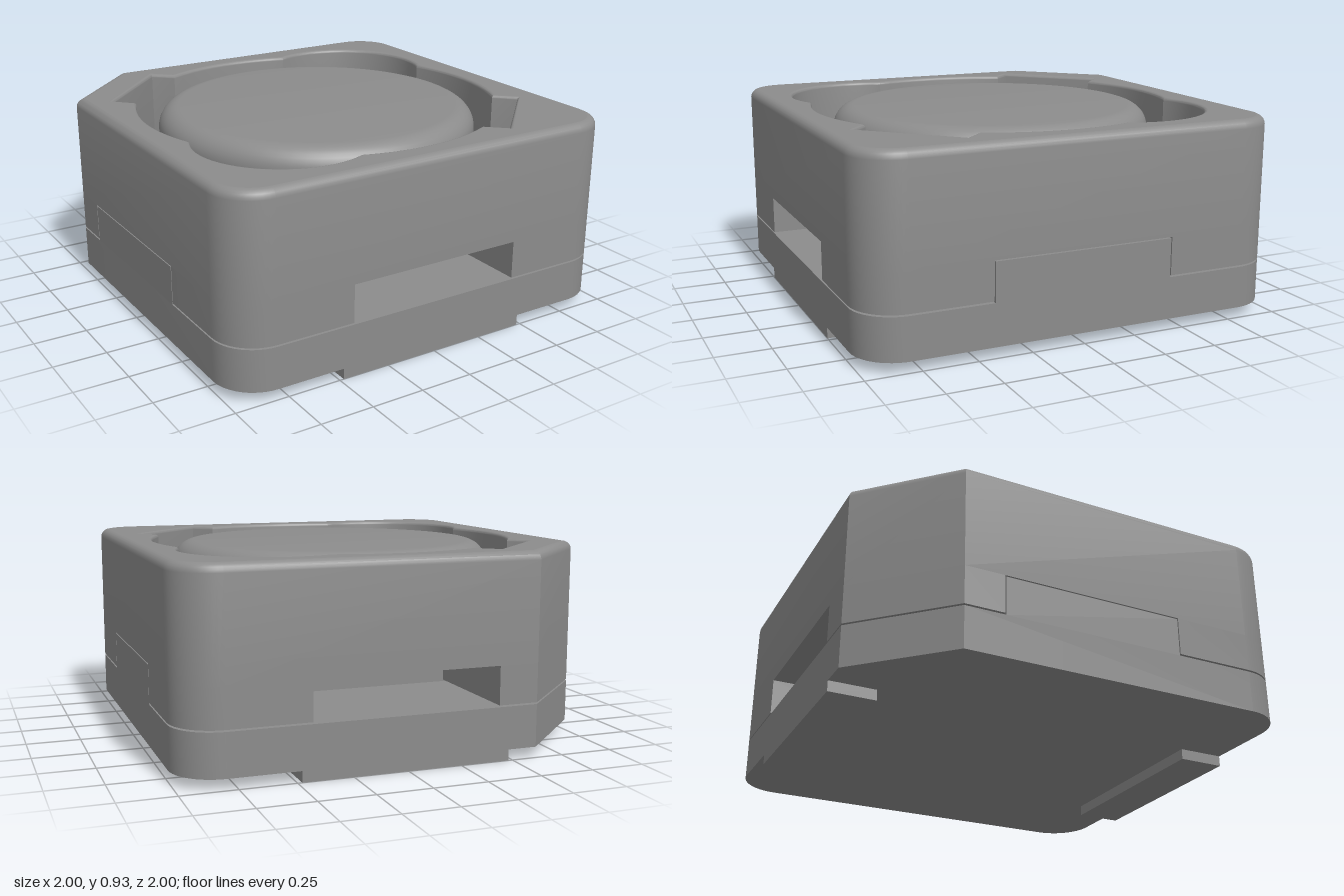
import * as THREE from 'three';
import { toCreasedNormals } from 'three/addons/utils/BufferGeometryUtils.js';

const grey = new THREE.MeshStandardMaterial({ color: 0x8c8c8c });
grey.name = 'ferrite grey';

// Outlines are lists of [x, -z], counter-clockwise seen from above
const rotate = ([x, y], a) => [x * Math.cos(a) - y * Math.sin(a), x * Math.sin(a) + y * Math.cos(a)];

function arc(cx, cy, r, from, to, n, skipEnds = false) {
  const pts = [];
  for (let i = skipEnds ? 1 : 0; i <= (skipEnds ? n - 1 : n); i++) {
    const a = THREE.MathUtils.degToRad(from + ((to - from) * i) / n);
    pts.push([cx + r * Math.cos(a), cy + r * Math.sin(a)]);
  }
  return pts;
}

// Corner 1 (back right) is chamfered, the others are rounded
const corner = (k) => (k === 1 ? [[1, 0.615], [0.615, 1]] : arc(0.8, 0.8, 0.2, 0, 90, 12));

function bodyOutline() {
  const pts = [];
  for (let k = 0; k < 4; k++) pts.push(...corner(k).map((p) => rotate(p, (k * Math.PI) / 2)));
  return pts;
}

// Round pocket with two lobes and two flat notches on the diagonals
function pocketOutline() {
  const half = [
    ...arc(0.46, 0.46, 0.4, -25.3, 115.3, 24),
    ...arc(0, 0, 0.87, 70.5, 117.3, 10, true),
    [-0.4, 0.775], [-0.49, 0.86], [-0.86, 0.49], [-0.775, 0.4],
    ...arc(0, 0, 0.87, 152.7, 199.5, 10, true),
  ];
  return [...half, ...half.map(([x, y]) => [-x, -y])];
}

// Moves an outline outward by d with mitred corners
function offset(pts, d) {
  const n = pts.length;
  const normal = (a, b) => {
    const dx = b[0] - a[0], dy = b[1] - a[1], l = Math.hypot(dx, dy);
    return [dy / l, -dx / l];
  };
  return pts.map((p, i) => {
    const a = normal(pts[(i + n - 1) % n], p), b = normal(p, pts[(i + 1) % n]);
    const k = d / (1 + a[0] * b[0] + a[1] * b[1]);
    return [p[0] + (a[0] + b[0]) * k, p[1] + (a[1] + b[1]) * k];
  });
}

// Wall through a list of { pts, y } rings
function loft(rings) {
  const n = rings[0].pts.length, pos = [], idx = [];
  for (const { pts, y } of rings) for (const p of pts) pos.push(p[0], y, -p[1]);
  for (let r = 0; r < rings.length - 1; r++) {
    for (let i = 0; i < n; i++) {
      const j = (i + 1) % n, a = r * n + i, b = r * n + j;
      idx.push(a, b, b + n, a, b + n, a + n);
    }
  }
  const geo = new THREE.BufferGeometry();
  geo.setAttribute('position', new THREE.Float32BufferAttribute(pos, 3));
  geo.setIndex(idx);
  return toCreasedNormals(geo, 0.6);
}

const toShape = (pts) => new THREE.Shape(pts.map(([x, y]) => new THREE.Vector2(x, y)));

function face(pts, y, hole) {
  const shape = toShape(pts);
  if (hole) shape.holes.push(toShape(hole));
  return new THREE.ShapeGeometry(shape).rotateX(-Math.PI / 2).translate(0, y, 0);
}

function faceDown(pts, y) {
  const mirrored = pts.map(([x, v]) => [x, -v]);
  return new THREE.ShapeGeometry(toShape(mirrored)).rotateX(Math.PI / 2).translate(0, y, 0);
}

function prism(pts, y0, y1) {
  const geo = new THREE.ExtrudeGeometry(toShape(pts), { depth: y1 - y0, bevelEnabled: false });
  return toCreasedNormals(geo.rotateX(-Math.PI / 2).translate(0, y0, 0), 0.6);
}

function add(parent, name, geo) {
  const mesh = new THREE.Mesh(geo, grey);
  mesh.name = name;
  parent.add(mesh);
  return mesh;
}

export function createModel() {
  const model = new THREE.Group();
  model.name = 'shieldedInductor';
  const body = bodyOutline(), pocket = pocketOutline();
  const top = 0.925, floor = 0.6, slot = 0.43, fillet = 0.04, lip = 0.016;

  // Base plate, with a raised bar running from side to side
  const base = new THREE.Group();
  base.name = 'base';
  model.add(base);
  add(base, 'basePlate', prism(body, 0.05, 0.245));
  add(base, 'baseBar', new THREE.BoxGeometry(2, 0.18, 0.85)).position.set(0, 0.335, 0);

  // Solder terminals at front and back
  for (const s of [1, -1]) {
    const terminal = add(base, s > 0 ? 'frontTerminal' : 'backTerminal', new THREE.BoxGeometry(0.96, 0.05, 0.22));
    terminal.position.set(0, 0.025, s * 0.89);
  }

  // Shield: filleted outer wall, top, pocket and underside
  const shield = new THREE.Group();
  shield.name = 'shield';
  model.add(shield);
  const outerRings = [{ pts: body, y: slot }], lipRings = [];
  for (let i = 0; i <= 5; i++) {
    const a = (i / 5) * (Math.PI / 2);
    outerRings.push({ pts: offset(body, -fillet * (1 - Math.cos(a))), y: top - fillet * (1 - Math.sin(a)) });
    lipRings.push({ pts: offset(pocket, lip * (1 - Math.sin(a))), y: top - lip * (1 - Math.cos(a)) });
  }
  lipRings.push({ pts: pocket, y: floor });
  add(shield, 'shieldWall', loft(outerRings));
  add(shield, 'pocketWall', loft(lipRings));
  add(shield, 'shieldTop', face(offset(body, -fillet), top, offset(pocket, lip)));
  add(shield, 'pocketFloor', face(pocket, floor));
  add(shield, 'shieldUnderside', faceDown(body, slot));

  // Corner feet of the shield, leaving a slot in each side
  for (let k = 0; k < 4; k++) {
    const pts = [[slot, slot], [1, slot], ...corner(k), [slot, 1]];
    add(shield, 'shieldFoot', prism(pts.map((p) => rotate(p, (k * Math.PI) / 2)), 0.253, slot));
  }

  // Drum core with a rounded top edge
  const r = 0.768, f = 0.1, drumTop = 0.915;
  const profile = [new THREE.Vector2(r, floor)];
  for (const [x, y] of arc(r - f, drumTop - f, f, 0, 90, 8)) profile.push(new THREE.Vector2(x, y));
  profile.push(new THREE.Vector2(0, drumTop));
  add(model, 'drumCore', toCreasedNormals(new THREE.LatheGeometry(profile, 72), 0.6));

  return model;
}
